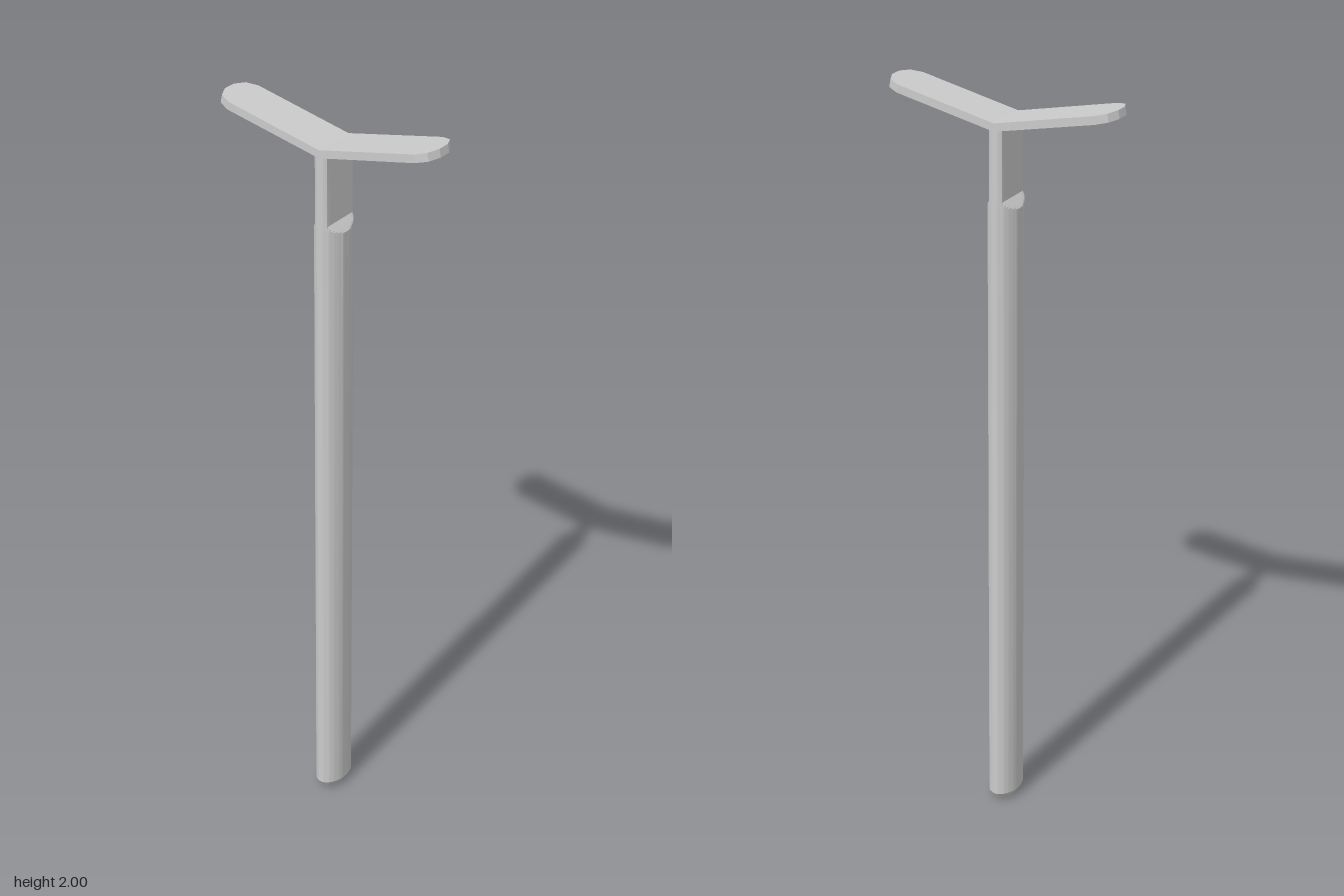
import * as THREE from 'three';
import { toCreasedNormals } from 'three/addons/utils/BufferGeometryUtils.js';

const material = new THREE.MeshStandardMaterial({ color: 0xcccccc });

// Oval post: chamfered foot, and a top flattened front and back into a thin neck
function createPost() {
  // each level: [height, half width, half depth, flat limit on depth]
  const levels = [
    [0, 0.045, 0.024, 1],
    [0.025, 0.062, 0.04, 1],
    [1.705, 0.062, 0.04, 0.04],
  ];
  const steps = 6;
  for (let i = 1; i <= steps; i++) {
    const t = i / steps;
    levels.push([1.705 + 0.025 * t, 0.062, 0.04, 0.04 - 0.022 * t]);
  }
  levels.push([1.92, 0.062, 0.04, 0.018]);

  const rows = levels.length - 1;
  const geometry = new THREE.CylinderGeometry(1, 1, 1, 48, rows);
  const p = geometry.attributes.position;
  for (let i = 0; i < p.count; i++) {
    const [y, halfX, halfZ, limit] = levels[Math.round((p.getY(i) + 0.5) * rows)];
    const z = THREE.MathUtils.clamp(p.getZ(i) * halfZ, -limit, limit);
    p.setXYZ(i, p.getX(i) * halfX, y, z);
  }
  const post = new THREE.Mesh(toCreasedNormals(geometry, 0.5), material);
  post.name = 'post';
  return post;
}

// One rising half of the V-shaped rest, with a faceted round tip
function createRestWing() {
  const half = [[0.062, 0], [0.062, 0.271], [0.048, 0.3], [0.018, 0.314]];
  const outline = [...half, ...half.map(([x, z]) => [-x, z]).reverse()];
  const shape = new THREE.Shape(outline.map(([x, z]) => new THREE.Vector2(x, z)));
  const geometry = new THREE.ExtrudeGeometry(shape, { depth: 0.021, bevelEnabled: false });
  geometry.rotateX(Math.PI / 2);

  // tilt the wing upward while keeping the joint at z = 0 vertical
  const p = geometry.attributes.position;
  for (let i = 0; i < p.count; i++) {
    const y = p.getY(i);
    const z = p.getZ(i);
    p.setY(i, y + 1.932 + 0.2166 * z);
    p.setZ(i, z - 0.65 * y * z);
  }
  geometry.computeVertexNormals();
  return new THREE.Mesh(geometry, material);
}

export function createModel() {
  const model = new THREE.Group();
  model.name = 'postWithRest';
  model.add(createPost());

  const frontWing = createRestWing();
  frontWing.name = 'frontRestWing';
  const backWing = createRestWing();
  backWing.name = 'backRestWing';
  backWing.rotation.y = Math.PI;
  model.add(frontWing, backWing);
  return model;
}
